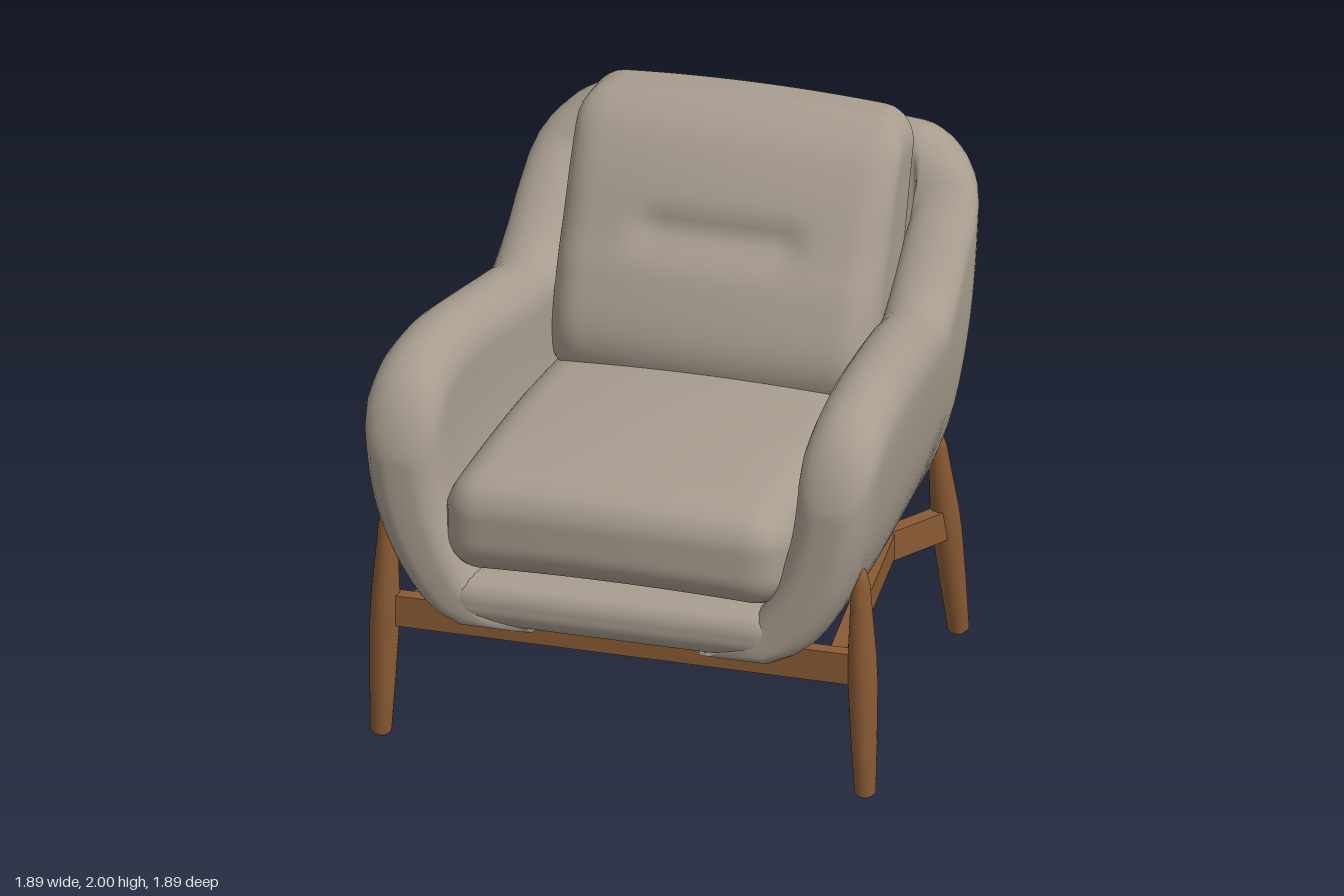
import * as THREE from 'three';
import { mergeVertices } from 'three/addons/utils/BufferGeometryUtils.js';

const { lerp, clamp, smoothstep } = THREE.MathUtils;

// Smooth curve y(x) through a few [x, y] points
function curve(points) {
  const slope = points.map((p, i) => {
    const a = points[Math.max(i - 1, 0)], b = points[Math.min(i + 1, points.length - 1)];
    return (b[1] - a[1]) / (b[0] - a[0]);
  });
  return (x) => {
    x = clamp(x, points[0][0], points.at(-1)[0]);
    let i = 0;
    while (i < points.length - 2 && x > points[i + 1][0]) i++;
    const [x0, y0] = points[i], [x1, y1] = points[i + 1];
    const h = x1 - x0, t = (x - x0) / h, t2 = t * t, t3 = t2 * t;
    return (2 * t3 - 3 * t2 + 1) * y0 + (t3 - 2 * t2 + t) * h * slope[i]
      + (3 * t2 - 2 * t3) * y1 + (t3 - t2) * h * slope[i + 1];
  };
}

// Shell rules: outer half width and back position by height, rim height along the U
const halfWidth = curve([[0.5, 0.58], [0.56, 0.7], [0.7, 0.81], [0.85, 0.88], [1.0, 0.92], [1.25, 0.945], [1.5, 0.945], [1.9, 0.93]]);
const backZ = curve([[0.49, -0.3], [0.6, -0.45], [0.78, -0.6], [1.1, -0.75], [1.4, -0.85], [1.68, -0.92], [1.9, -0.945]]);
const rimHeight = curve([[0, 1.12], [0.02, 1.23], [0.05, 1.32], [0.09, 1.38], [0.167, 1.44], [0.33, 1.47], [0.53, 1.45],
  [0.7, 1.425], [0.82, 1.415], [0.9, 1.51], [1, 1.68], [1.5, 1.82], [2, 1.88], [3, 1.89]]);
const thickness = curve([[0, 0.28], [0.7, 0.27], [1, 0.24], [2, 0.2], [3, 0.19]]);
const capInset = curve([[0, 0.1], [0.006, 0.07], [0.02, 0.035], [0.05, 0.01], [0.09, 0], [3, 0]]);
const taper = (z) => lerp(0.885, 1, smoothstep(z, -0.6, 0.75));

// u: 0-1 along the arm, 1-2 around the corner, 2-3 to the middle of the back
function shellPoint(u, y, inset) {
  const r = 0.25, zb = backZ(y) + r;
  if (u <= 1) {
    const z = lerp(0.9, zb, u);
    return [halfWidth(y) * taper(z) - inset, y, z];
  }
  const cx = halfWidth(y) * taper(zb) - r;
  if (u <= 2) {
    const a = (u - 1) * Math.PI / 2;
    return [cx + Math.cos(a) * (r - inset), y, zb - Math.sin(a) * (r - inset)];
  }
  return [cx * (3 - u), y, zb - r + inset - 0.015 * (u - 2)];
}

// Wraparound arms and back, one closed cross-section per station
function shellGeometry() {
  const stations = [0, 0.006, 0.02, 0.05, 0.09];
  for (let i = 1; i <= 22; i++) stations.push(lerp(0.09, 1, i / 22));
  for (let i = 1; i <= 10; i++) stations.push(1 + i / 10);
  for (let i = 1; i <= 8; i++) stations.push(2 + i / 8);
  const half = stations.length, total = half * 2 - 1;
  const wall = 16, arc = 12, loop = 2 * wall + arc + 1;
  const positions = [], index = [];
  for (let i = 0; i < total; i++) {
    const side = i < half ? 1 : -1;
    const u = stations[i < half ? i : total - 1 - i];
    const e = capInset(u), T = thickness(u), r = T / 2 - e;
    const low = 0.495 + e * 0.4, high = rimHeight(u) - r;
    for (let j = 0; j < loop; j++) {
      let y, inset;
      if (j < wall) { y = lerp(low, high, j / wall); inset = e; }
      else if (j <= wall + arc) {
        const a = (j - wall) / arc * Math.PI;
        y = high + r * Math.sin(a);
        inset = e + r * (1 - Math.cos(a));
      } else { y = lerp(high, low, (j - wall - arc) / wall); inset = T - e; }
      const p = shellPoint(u, y, inset);
      positions.push(p[0] * side, p[1], p[2]);
    }
  }
  const quad = (a, b, c, d) => index.push(a, b, c, a, c, d);
  for (let i = 0; i < total - 1; i++) for (let j = 0; j < loop; j++) {
    const k = (j + 1) % loop, a = i * loop, b = a + loop;
    quad(a + j, b + j, b + k, a + k);
  }
  // Front faces of both arms
  const end = (total - 1) * loop;
  for (let j = 0; j < (loop - 1) / 2; j++) {
    const k = loop - 1 - j;
    quad(j, j + 1, k - 1, k);
    quad(end + k, end + k - 1, end + j + 1, end + j);
  }
  const g = new THREE.BufferGeometry();
  g.setAttribute('position', new THREE.Float32BufferAttribute(positions, 3));
  g.setIndex(index);
  g.computeVertexNormals();
  return g;
}

// Rounded block with dense faces, reshaped by a rule
function pillow(w, h, d, r, rule) {
  let g = new THREE.BoxGeometry(w, h, d, 40, 32, 32);
  g.deleteAttribute('uv');
  g.deleteAttribute('normal');
  g = mergeVertices(g);
  const pos = g.attributes.position, p = new THREE.Vector3(), q = new THREE.Vector3();
  const inner = new THREE.Vector3(w / 2 - r, h / 2 - r, d / 2 - r), neg = inner.clone().negate();
  for (let i = 0; i < pos.count; i++) {
    p.fromBufferAttribute(pos, i);
    q.copy(p).clamp(neg, inner);
    p.sub(q).setLength(r).add(q);
    rule(p);
    pos.setXYZ(i, p.x, p.y, p.z);
  }
  g.computeVertexNormals();
  return g;
}

export function createModel() {
  const chair = new THREE.Group();
  chair.name = 'armchair';
  const fabric = new THREE.MeshStandardMaterial({ name: 'greyFabric', color: 0xa79c8e });
  const wood = new THREE.MeshStandardMaterial({ name: 'brownWood', color: 0x8a5b34 });
  const add = (name, geometry, material) => {
    const mesh = new THREE.Mesh(geometry, material);
    mesh.name = name;
    chair.add(mesh);
    return mesh;
  };

  add('armAndBackShell', shellGeometry(), fabric);

  // Seat base with the front rim
  add('seatBase', pillow(1.24, 0.18, 1.22, 0.08, (p) => {
    p.z += 0.29;
    p.x *= taper(p.z);
    p.y += 0.595;
  }), fabric);

  // Seat cushion with a crowned top and a bowed front
  add('seatCushion', pillow(1.25, 0.36, 1.5, 0.13, (p) => {
    const cx = 1 - (p.x / 0.63) ** 2, cz = 1 - (p.z / 0.75) ** 2, cy = 1 - (p.y / 0.18) ** 2;
    p.y += p.y > 0 ? 0.05 * cx * (0.4 + 0.6 * cz) + 0.03 * cz : 0.03 * cx;
    p.x *= 1 + 0.02 * cy;
    p.z += 0.16 + (p.z > 0 ? 0.03 * cx : 0);
    p.y += 0.875;
  }), fabric);

  // Leaning back cushion with a shallow tufted line
  const cushionFront = curve([[1, -0.16], [1.2, -0.12], [1.42, -0.19], [1.55, -0.26], [1.75, -0.36], [1.9, -0.46], [2, -0.56]]);
  const cushionBack = curve([[1, -0.56], [1.5, -0.66], [1.9, -0.76], [2, -0.785]]);
  add('backCushion', pillow(1.2, 1, 0.42, 0.12, (p) => {
    const depth = p.z / 0.42 + 0.5, t = p.y + 0.5, edge = (p.x / 0.6) ** 2;
    p.y = 1 + t - 0.025 * edge * t;
    const tuft = Math.exp(-(((p.y - 1.58) / 0.06) ** 2)) * (1 - smoothstep(Math.abs(p.x), 0.22, 0.36));
    const front = cushionFront(p.y) - 0.04 * edge - 0.035 * tuft;
    p.z = lerp(cushionBack(p.y), front, depth);
  }), fabric);

  // Tapered round legs
  const up = new THREE.Vector3(0, 1, 0);
  const leg = (name, bottom, top) => {
    const a = new THREE.Vector3(...bottom), dir = new THREE.Vector3(...top).sub(a), L = dir.length();
    const profile = [[0, 0], [0.025, 0], [0.038, 0.018], [0.047, 0.25], [0.053, 0.5], [0.051, 0.62], [0.042, 0.77], [0.034, 0.92], [0.022, 0.985], [0, 1]]
      .map(([r, t]) => new THREE.Vector2(r, t * L));
    const mesh = add(name, new THREE.LatheGeometry(profile, 24), wood);
    mesh.position.copy(a);
    mesh.quaternion.setFromUnitVectors(up, dir.normalize());
  };

  // Rectangular rails between two points
  const rail = (name, from, to, height, width) => {
    const a = new THREE.Vector3(...from), b = new THREE.Vector3(...to);
    const mesh = add(name, new THREE.BoxGeometry(width, height, a.distanceTo(b)), wood);
    mesh.position.copy(a).lerp(b, 0.5);
    mesh.lookAt(b);
  };

  for (const [side, s] of [['left', 1], ['right', -1]]) {
    leg(side + 'FrontLeg', [0.895 * s, 0, 0.76], [0.872 * s, 0.865, 0.745]);
    leg(side + 'RearLeg', [0.748 * s, 0, -0.735], [0.715 * s, 0.83, -0.575]);
    rail(side + 'SideRail', [0.78 * s, 0.475, 0.73], [0.6 * s, 0.455, -0.37], 0.09, 0.06);
    rail(side + 'RearRailArm', [0.585 * s, 0.455, -0.355], [0.735 * s, 0.455, -0.645], 0.11, 0.06);
  }
  rail('frontRail', [-0.87, 0.48, 0.745], [0.87, 0.48, 0.745], 0.115, 0.06);
  rail('rearRail', [-0.61, 0.455, -0.37], [0.61, 0.455, -0.37], 0.11, 0.06);

  return chair;
}
